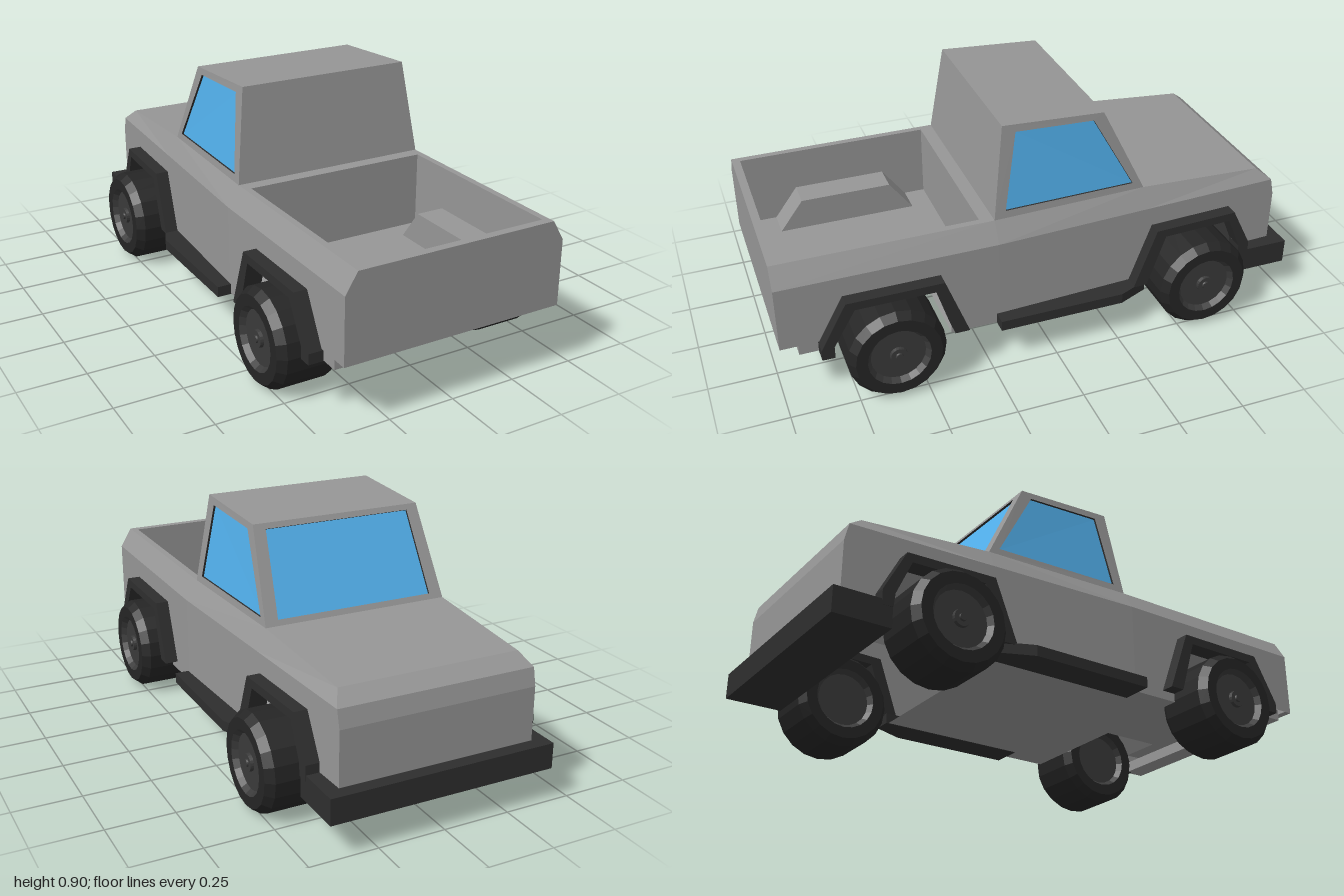
import * as THREE from 'three';

const mat = (color) => new THREE.MeshStandardMaterial({ color, flatShading: true, side: THREE.DoubleSide });
const V = (x, y, z) => new THREE.Vector3(x, y, z);

// Half width of the body at z: parallel at the bed, tapering towards the nose
const halfWidth = (z) => z >= 0.2 ? 0.425 : 0.425 - (0.2 - z) * 0.048;
const shoulder = (z) => halfWidth(z) - (z >= 0.2 ? 0.045 : 0.045 - (0.2 - z) * 0.012);

// Flat polygons, each given as a list of corners
function facesGeometry(polygons) {
  const p = [];
  for (const c of polygons)
    for (let i = 1; i < c.length - 1; i++)
      for (const v of [c[0], c[i], c[i + 1]]) p.push(v.x, v.y, v.z);
  const g = new THREE.BufferGeometry();
  g.setAttribute('position', new THREE.Float32BufferAttribute(p, 3));
  g.computeVertexNormals();
  return g;
}

const toShape = (pts) => new THREE.Shape(pts.map(([a, b]) => new THREE.Vector2(a, b)));

// Profile in (z, y) laid on the -x side; depth is measured outwards from width(z)
function sideGeometry(pts, width, from = 0, depth = 0) {
  const shape = toShape(pts);
  let g = depth ? new THREE.ExtrudeGeometry(shape, { depth, bevelEnabled: false }) : new THREE.ShapeGeometry(shape);
  if (g.index) g = g.toNonIndexed();
  const p = g.attributes.position;
  for (let i = 0; i < p.count; i++) {
    const z = p.getX(i), y = p.getY(i), d = p.getZ(i);
    p.setXYZ(i, -(width(z) + from + d), y, z);
  }
  g.computeVertexNormals();
  return g;
}

// Mirror across x = 0, with the corner order put right
function mirrored(source) {
  const g = source.index ? source.toNonIndexed() : source.clone();
  g.scale(-1, 1, 1);
  const p = g.attributes.position, a = V(0, 0, 0), b = V(0, 0, 0);
  for (let i = 0; i < p.count; i += 3) {
    a.fromBufferAttribute(p, i + 1);
    b.fromBufferAttribute(p, i + 2);
    p.setXYZ(i + 1, b.x, b.y, b.z);
    p.setXYZ(i + 2, a.x, a.y, a.z);
  }
  g.computeVertexNormals();
  return g;
}

export function createModel() {
  const model = new THREE.Group();
  const body = mat(0x969696), trim = mat(0x2e2e2e), tyre = mat(0x252525), rim = mat(0x3a3a3a), glass = mat(0x52b0ec);

  const add = (name, geometry, material) => {
    const m = new THREE.Mesh(geometry, material);
    m.name = name;
    model.add(m);
  };
  const addPair = (name, geometry, material) => {
    add('right' + name, geometry, material);
    add('left' + name, mirrored(geometry), material);
  };
  const box = (name, x, y0, y1, z0, z1, material) =>
    add(name, new THREE.BoxGeometry(2 * x, y1 - y0, z1 - z0).translate(0, (y0 + y1) / 2, (z0 + z1) / 2), material);
  // Strip across the body through a run of [half width, y, z] rows
  const strip = (rows) => rows.slice(1).map(([x, y, z], i) => {
    const [a, b, c] = rows[i];
    return [V(-a, b, c), V(a, b, c), V(x, y, z), V(-x, y, z)];
  });

  // Lower side panels with the wheel arches cut out
  addPair('BedSide', sideGeometry([[1, 0.24], [1, 0.485], [0.2, 0.485], [0.2, 0.147], [0.385, 0.147], [0.385, 0.18],
    [0.44, 0.39], [0.755, 0.39], [0.83, 0.24]], halfWidth), body);
  addPair('FrontSide', sideGeometry([[0.2, 0.147], [0.2, 0.485], [-0.935, 0.485], [-0.95, 0.42], [-0.95, 0.2],
    [-0.8, 0.2], [-0.74, 0.39], [-0.445, 0.39], [-0.375, 0.147]], halfWidth), body);

  // Sloping shoulders above the side panels
  const low = (z) => V(-halfWidth(z), 0.485, z);
  const high = (z, y = 0.56) => V(-shoulder(z), y, z);
  addPair('Shoulder', facesGeometry([
    [low(1), high(1), high(0.2), low(0.2)],
    [low(0.2), high(0.2), high(-0.39), low(-0.39)],
    [low(-0.39), high(-0.39), high(-0.88, 0.53), low(-0.935)],
  ]), body);

  // Hood and nose
  add('hoodAndNose', facesGeometry(strip([
    [shoulder(-0.39), 0.56, -0.39], [shoulder(-0.88), 0.53, -0.88], [halfWidth(-0.935), 0.485, -0.935],
    [halfWidth(-0.95), 0.42, -0.95], [halfWidth(-0.95), 0.2, -0.95],
  ])), body);

  // Bed: tailgate, rim, end walls and floor
  const bx = 0.355, wx = 0.245, z0 = 0.25, z1 = 0.97, fy = 0.28, wellTop = 0.4;
  add('tailgate', facesGeometry([
    [V(-0.425, 0.24, 1), V(0.425, 0.24, 1), V(0.425, 0.485, 1), V(0.38, 0.56, 1), V(-0.38, 0.56, 1), V(-0.425, 0.485, 1)],
    ...strip([[0.425, 0.24, 1], [0.425, 0.24, z1], [0.425, fy, z1]]),
  ]), body);
  add('bedEnds', facesGeometry([
    ...strip([[0.38, 0.56, 0.2], [0.38, 0.56, z0]]), ...strip([[0.38, 0.56, z1], [0.38, 0.56, 1]]),
    ...strip([[bx, 0.56, z0], [bx, fy, z0]]), ...strip([[bx, 0.56, z1], [bx, fy, z1]]),
  ]), body);
  add('bedFloor', facesGeometry([
    ...strip([[0.42, fy, z0], [0.42, fy, 0.33]]), ...strip([[wx, fy, 0.33], [wx, fy, 0.86]]),
    ...strip([[0.42, fy, 0.86], [0.42, fy, z1]]),
  ]), body);
  addPair('BedRim', facesGeometry([[V(-0.38, 0.56, z0), V(-0.38, 0.56, z1), V(-bx, 0.56, z1), V(-bx, 0.56, z0)]]), body);

  // Wheel wells inside the bed
  const well = [[0.33, fy], [0.42, wellTop], [0.77, wellTop], [0.86, fy]];
  addPair('BedInnerWall', sideGeometry([[z0, 0.56], [z0, fy], ...well, [z1, fy], [z1, 0.56]], () => bx), body);
  addPair('WellFace', sideGeometry(well, () => wx), body);
  addPair('WellTop', facesGeometry(well.slice(1).map(([z, y], i) => {
    const [a, b] = well[i];
    return [V(-wx, b, a), V(-0.42, b, a), V(-0.42, y, z), V(-wx, y, z)];
  })), body);

  // Underside
  add('belly', facesGeometry(strip([0.385, 0.2, -0.375].map((z) => [halfWidth(z), 0.147, z]))), body);
  box('rearSill', 0.42, 0.198, 0.24, 0.85, 0.935, body);
  box('frontBumper', 0.425, 0.125, 0.22, -1, -0.79, trim);

  // Cab: solid roof and back, framed windows at the front and sides
  const baseFront = V(-shoulder(-0.39), 0.56, -0.39), baseBack = V(-0.38, 0.56, 0.2);
  const roofFront = V(-0.33, 0.885, -0.23), roofBack = V(-0.335, 0.905, 0.155);
  const flip = (v) => V(-v.x, v.y, v.z);
  add('cabShell', facesGeometry([
    [baseBack, flip(baseBack), flip(roofBack), roofBack],
    [roofBack, flip(roofBack), flip(roofFront), roofFront],
  ]), body);

  // Frame, seal and recessed pane; the opening is given as fractions across and up the outer corners
  function framedWindow(outer, opening) {
    const [a, b, c, d] = outer;
    const inner = opening.map(([s, t]) => a.clone().lerp(b, s).lerp(d.clone().lerp(c, s), t));
    const inward = b.clone().sub(a).cross(d.clone().sub(a)).normalize().multiplyScalar(-0.008);
    const pane = inner.map((q) => q.clone().add(inward));
    const ring = (p, q) => p.map((_, i) => [p[i], p[(i + 1) % 4], q[(i + 1) % 4], q[i]]);
    return [facesGeometry(ring(outer, inner)), facesGeometry(ring(inner, pane)), facesGeometry([pane])];
  }
  const sideWindow = framedWindow([baseFront, baseBack, roofBack, roofFront],
    [[0.055, 0.08], [0.93, 0.08], [0.87, 0.92], [0.13, 0.92]]);
  ['CabFrame', 'WindowSeal', 'Window'].forEach((n, i) => addPair(n, sideWindow[i], [body, trim, glass][i]));
  const windshield = framedWindow([flip(baseFront), baseFront, roofFront, flip(roofFront)],
    [[0.07, 0.06], [0.93, 0.06], [0.93, 0.94], [0.07, 0.94]]);
  ['windshieldFrame', 'windshieldSeal', 'windshield'].forEach((n, i) => add(n, windshield[i], [body, trim, glass][i]));

  // Angular fender flares
  addPair('RearFender', sideGeometry([[0.33, 0.18], [0.417, 0.41], [0.77, 0.41], [0.866, 0.235], [0.866, 0.195],
    [0.82, 0.195], [0.82, 0.24], [0.74, 0.378], [0.447, 0.378], [0.385, 0.18]], halfWidth, -0.02, 0.07), trim);
  addPair('FrontFender', sideGeometry([[-0.33, 0.18], [-0.417, 0.41], [-0.75, 0.41], [-0.83, 0.255], [-0.83, 0.2],
    [-0.79, 0.2], [-0.785, 0.25], [-0.73, 0.378], [-0.455, 0.378], [-0.385, 0.18]], halfWidth, -0.02, 0.07), trim);

  // Rocker steps between the wheels
  const step = new THREE.ExtrudeGeometry(toShape([[-0.36, 0.21], [-0.478, 0.21], [-0.478, -0.27], [-0.43, -0.385], [-0.36, -0.385]]),
    { depth: 0.04, bevelEnabled: false });
  addPair('Rocker', step.rotateX(Math.PI / 2).translate(0, 0.185, 0), trim);

  // Wheels
  const lathe = (pts) => new THREE.LatheGeometry(pts.map(([r, h]) => new THREE.Vector2(r, h)), 20).rotateZ(Math.PI / 2);
  const tyreGeo = lathe([[0.115, -0.12], [0.157, -0.12], [0.179, -0.09], [0.179, 0.09], [0.157, 0.12], [0.115, 0.12]]);
  const rimGeo = lathe([[0, -0.1], [0.1, -0.1], [0.115, -0.12], [0.115, 0.12], [0.1, 0.1], [0.032, 0.1],
    [0.03, 0.112], [0.014, 0.112], [0.012, 0.118], [0, 0.118]]);
  for (const [end, z] of [['Rear', 0.607], ['Front', -0.593]])
    for (const [geo, part, m] of [[tyreGeo, 'Tyre', tyre], [rimGeo, 'Rim', rim]])
      addPair(end + part, geo.clone().translate(-0.414, 0.179, z), m);

  return model;
}
